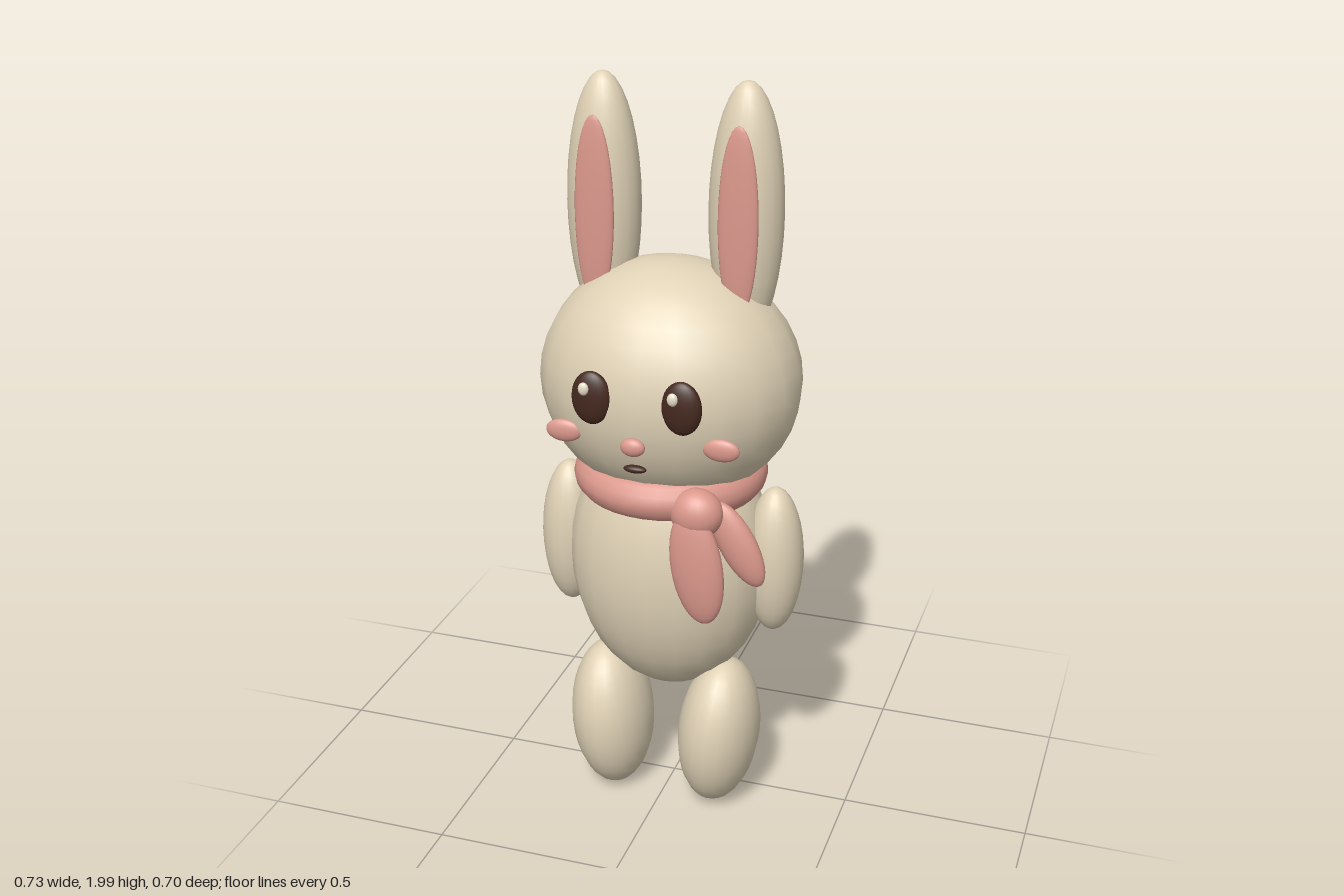
import * as THREE from 'three';

const colour = (name, hex) => {
  const m = new THREE.MeshStandardMaterial({ color: hex });
  m.name = name;
  return m;
};

export function createModel() {
  const fur = colour('creamFur', 0xe0d2b6);
  const pink = colour('dustyPink', 0xdb988c);
  const dark = colour('darkBrown', 0x45291f);
  const shine = colour('eyeShine', 0xf2e8d4);

  const rabbit = new THREE.Group();
  rabbit.name = 'rabbit';

  // Every soft part is an ellipsoid: centre, radii and an optional sideways lean
  const blob = (name, material, centre, radii, lean = 0) => {
    const mesh = new THREE.Mesh(new THREE.SphereGeometry(1, 20, 18), material);
    mesh.name = name;
    mesh.position.set(...centre);
    mesh.scale.set(...radii);
    mesh.rotation.z = lean;
    rabbit.add(mesh);
  };

  // Head, body and tail
  blob('head', fur, [0, 1.225, 0.03], [0.345, 0.32, 0.29]);
  blob('body', fur, [0, 0.72, 0.03], [0.275, 0.385, 0.225]);
  blob('tail', fur, [0, 0.6, -0.225], [0.127, 0.128, 0.128]);

  // Paired parts
  for (const [side, s] of [['left', 1], ['right', -1]]) {
    blob(side + 'Ear', fur, [s * 0.187, 1.67, 0], [0.096, 0.33, 0.082]);
    blob(side + 'InnerEar', pink, [s * 0.187, 1.66, 0.075], [0.052, 0.245, 0.015]);
    blob(side + 'Arm', fur, [s * 0.287, 0.742, 0.03], [0.078, 0.208, 0.08]);
    blob(side + 'Leg', fur, [s * 0.155, 0.222, 0.08], [0.11, 0.217, 0.143], -s * 0.08);
    blob(side + 'Eye', dark, [s * 0.117, 1.256, 0.302], [0.052, 0.07, 0.024]);
    blob(side + 'EyeShine', shine, [s * 0.115 - 0.015, 1.285, 0.323], [0.014, 0.017, 0.009]);
    blob(side + 'Cheek', pink, [s * 0.207, 1.142, 0.265], [0.048, 0.03, 0.015]);
  }

  // Nose and mouth
  blob('nose', pink, [0, 1.15, 0.332], [0.032, 0.024, 0.017]);
  blob('mouth', dark, [0, 1.085, 0.316], [0.03, 0.01, 0.013]);

  // Scarf ring, knot and two hanging ends
  const ring = new THREE.Mesh(new THREE.TorusGeometry(0.2, 0.056, 14, 36), pink);
  ring.name = 'scarfRing';
  ring.rotation.x = Math.PI / 2;
  ring.position.set(0, 0.967, 0.03);
  rabbit.add(ring);
  blob('scarfKnot', pink, [0.137, 0.95, 0.24], [0.07, 0.066, 0.055]);
  blob('scarfLongEnd', pink, [0.147, 0.812, 0.27], [0.07, 0.16, 0.032], 0.15);
  blob('scarfShortEnd', pink, [0.24, 0.868, 0.22], [0.05, 0.125, 0.03], 0.5);

  return rabbit;
}
